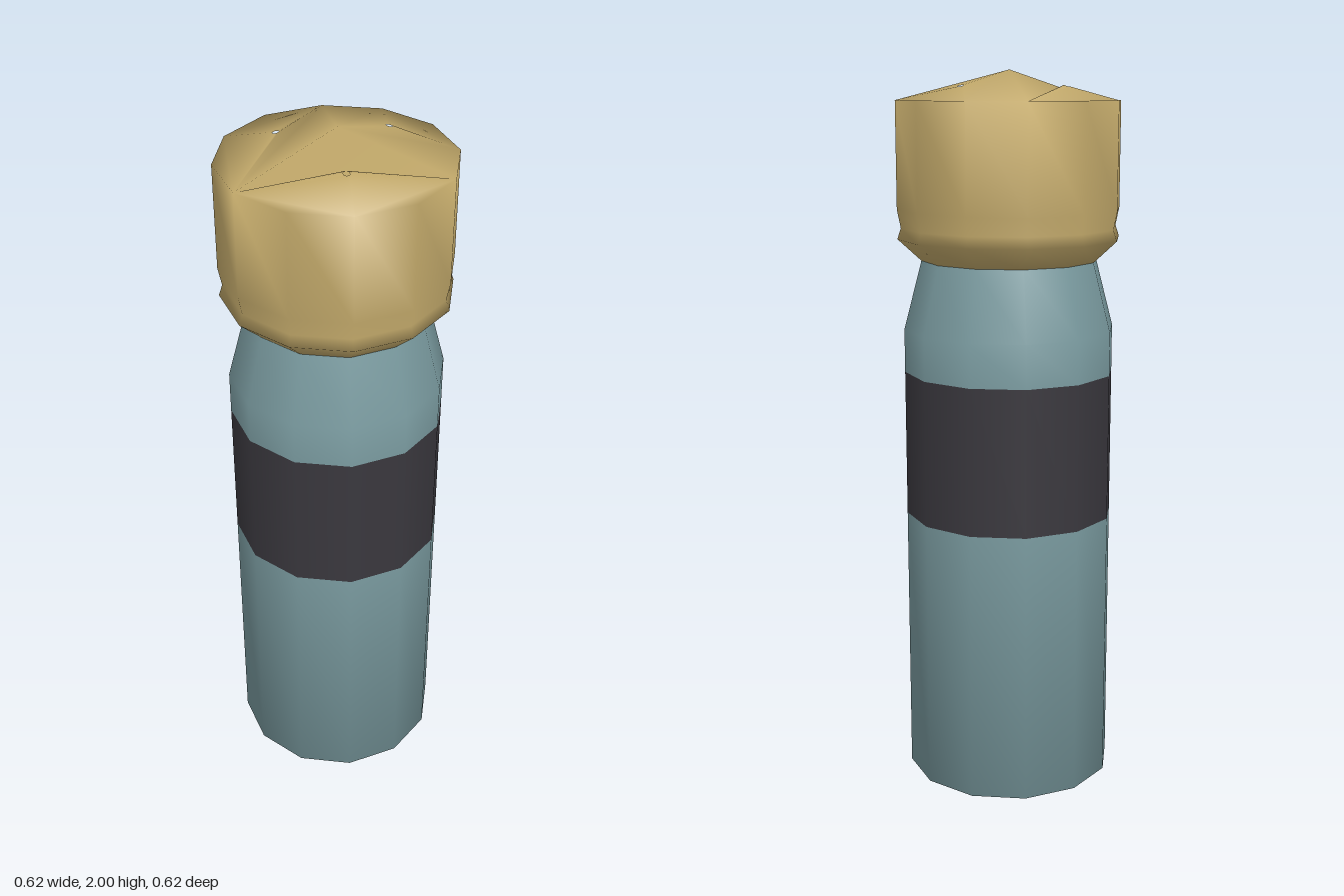
import * as THREE from 'three';
import { mergeGeometries, mergeVertices } from 'three/addons/utils/BufferGeometryUtils.js';

const SIDES = 12;
const CAP_R = 0.31, CAP_EDGE = 1.92, CAP_TOP = 2;

const material = (name, color) => {
  const m = new THREE.MeshStandardMaterial({ color });
  m.name = name;
  return m;
};

const lathe = (points) =>
  new THREE.LatheGeometry(points.map(([r, y]) => new THREE.Vector2(r, y)), SIDES);

const bare = (g) => {
  g.deleteAttribute('uv');
  g.deleteAttribute('normal');
  return g;
};

// Height of the shallow twelve-sided pyramid that tops the cap
function roofHeight(x, y) {
  const step = (2 * Math.PI) / SIDES;
  const a = (Math.atan2(y, x) + 2 * Math.PI) % step;
  const t = (Math.hypot(x, y) * Math.cos(a - step / 2)) / (CAP_R * Math.cos(step / 2));
  return CAP_TOP - (CAP_TOP - CAP_EDGE) * t;
}

// One third of the roof, pierced by a small six-sided hole
function roofThird(turn) {
  const polar = (r, deg) => new THREE.Vector2(
    r * Math.cos(THREE.MathUtils.degToRad(deg + turn)),
    r * Math.sin(THREE.MathUtils.degToRad(deg + turn)));
  const shape = new THREE.Shape([new THREE.Vector2(0, 0),
    ...[-60, -30, 0, 30, 60].map((d) => polar(CAP_R, d))]);
  const centre = polar(0.165, 0);
  const hole = [0, 1, 2, 3, 4, 5].map((i) => polar(0.009, -60 * i).add(centre));
  shape.holes.push(new THREE.Path(hole));
  const g = new THREE.ShapeGeometry(shape);
  const p = g.attributes.position;
  for (let i = 0; i < p.count; i++) {
    const x = p.getX(i), y = p.getY(i);
    p.setXYZ(i, x, roofHeight(x, y), -y);
  }
  return bare(g);
}

export function createModel() {
  const group = new THREE.Group();
  const glass = material('teal', 0x7b9ca1);
  const dark = material('charcoal', 0x3a383e);
  const gold = material('gold', 0xc0a769);

  const add = (name, geometry, mat) => {
    const mesh = new THREE.Mesh(geometry, mat);
    mesh.name = name;
    group.add(mesh);
    return mesh;
  };

  // Bottle: lower body with base, label band, shoulder and closed neck
  add('lowerBody', lathe([[0, 0], [0.295, 0], [0.295, 0.77]]), glass);
  add('labelBand', lathe([[0.295, 0.77], [0.295, 1.18]]), dark);
  add('shoulder', lathe([[0.295, 1.18], [0.295, 1.3], [0.245, 1.49]]), glass);
  const neck = add('neckTop', new THREE.CircleGeometry(0.245, SIDES), glass);
  neck.rotation.x = -Math.PI / 2;
  neck.position.y = 1.495;

  // Cap: flared wall and pierced roof, smoothed as one surface
  const wall = bare(lathe([[0.245, 1.49], [0.31, 1.55], [0.3, 1.58], [CAP_R, 1.63], [CAP_R, CAP_EDGE]]));
  const cap = mergeVertices(mergeGeometries([wall, ...[0, 120, 240].map(roofThird)]), 1e-4);
  cap.computeVertexNormals();
  add('cap', cap, gold);

  return group;
}
